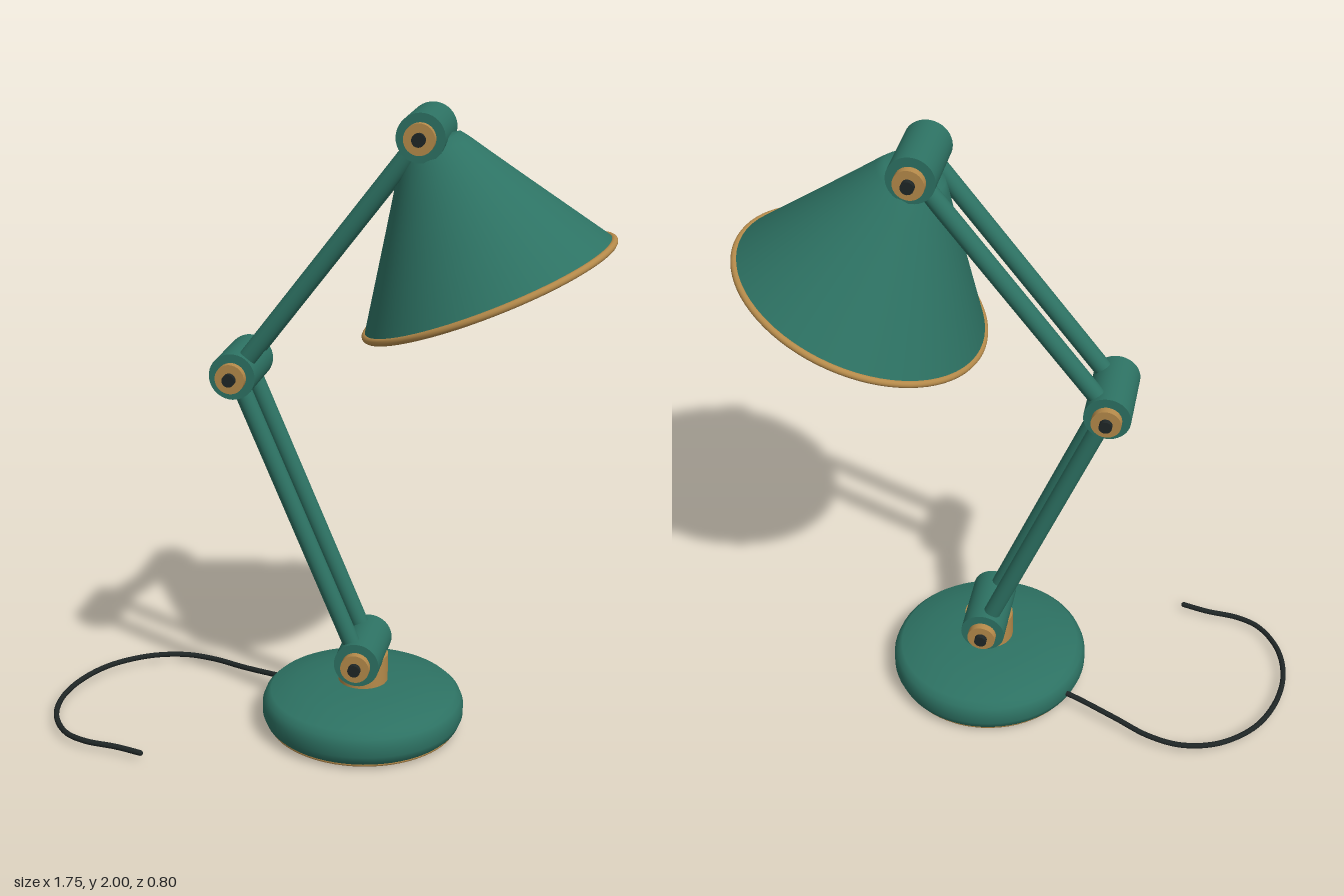
import * as THREE from 'three';

const mat = (name, color) => {
  const m = new THREE.MeshStandardMaterial({ color });
  m.name = name;
  return m;
};

export function createModel() {
  const green = mat('green enamel', 0x2d7263);
  const brass = mat('brass', 0xb58a4a);
  const dark = mat('dark rubber', 0x1f2626);
  const cream = mat('cream', 0xe6dcc4);

  const model = new THREE.Group();
  model.name = 'deskLamp';

  const add = (parent, name, geometry, material, x = 0, y = 0, z = 0) => {
    const mesh = new THREE.Mesh(geometry, material);
    mesh.name = name;
    mesh.position.set(x, y, z);
    parent.add(mesh);
    return mesh;
  };
  const lathe = (points) =>
    new THREE.LatheGeometry(points.map(([r, y]) => new THREE.Vector2(r, y)), 64);

  // Pivot centres in the x-y plane
  const foot = new THREE.Vector3(0.137, 0.26, 0);
  const elbow = new THREE.Vector3(-0.254, 1.187, 0);
  const head = new THREE.Vector3(0.312, 1.93, 0);

  // Base with rubber pad and brass trim
  const base = new THREE.Group();
  base.name = 'base';
  base.position.x = foot.x;
  model.add(base);
  add(base, 'baseBody', lathe([
    [0, 0.006], [0.295, 0.006], [0.315, 0.025], [0.325, 0.05], [0.325, 0.085],
    [0.316, 0.108], [0.298, 0.125], [0.22, 0.145], [0.13, 0.16], [0, 0.162],
  ]), green);
  add(base, 'basePad', new THREE.CylinderGeometry(0.285, 0.285, 0.01, 64), dark, 0, 0.005);
  add(base, 'baseTrim', new THREE.TorusGeometry(0.298, 0.008, 10, 64), brass, 0, 0.014)
    .rotation.x = Math.PI / 2;
  add(base, 'stem', new THREE.CylinderGeometry(0.08, 0.08, 0.11, 40), brass, 0, 0.196);

  // Pivot: barrel, bolt and a washer on each side
  const addJoint = (name, centre) => {
    const joint = new THREE.Group();
    joint.name = name;
    joint.position.copy(centre);
    joint.rotation.x = Math.PI / 2;
    model.add(joint);
    add(joint, 'barrel', new THREE.CylinderGeometry(0.072, 0.072, 0.232, 40), green);
    add(joint, 'bolt', new THREE.CylinderGeometry(0.02, 0.02, 0.32, 20), dark);
    for (const side of [-1, 1]) {
      add(joint, 'washer', new THREE.CylinderGeometry(0.046, 0.046, 0.024, 32), brass, 0, side * 0.132);
    }
  };
  addJoint('footJoint', foot);
  addJoint('elbowJoint', elbow);
  addJoint('headJoint', head);

  // Twin rods between pivots
  const addArm = (name, from, to) => {
    const arm = new THREE.Group();
    arm.name = name;
    arm.position.copy(from).lerp(to, 0.5);
    const dir = to.clone().sub(from);
    arm.quaternion.setFromUnitVectors(new THREE.Vector3(0, 1, 0), dir.clone().normalize());
    model.add(arm);
    for (const side of [-1, 1]) {
      add(arm, 'rod', new THREE.CylinderGeometry(0.028, 0.028, dir.length(), 24), green, 0, 0, side * 0.073);
    }
  };
  addArm('lowerArm', foot, elbow);
  addArm('upperArm', elbow, head);

  // Tilted shade hanging from the head pivot
  const shade = new THREE.Group();
  shade.name = 'shade';
  shade.position.copy(head);
  shade.rotation.z = 0.4;
  model.add(shade);
  add(shade, 'shadeOuter', lathe([
    [0.395, -0.49], [0.31, -0.362], [0.225, -0.234], [0.15, -0.12],
    [0.11, -0.058], [0.092, -0.034], [0.06, -0.026], [0, -0.024],
  ]), green);
  add(shade, 'shadeLining', lathe([
    [0, -0.05], [0.09, -0.055], [0.14, -0.126], [0.215, -0.24], [0.3, -0.368], [0.388, -0.49],
  ]), cream);
  add(shade, 'shadeRim', new THREE.TorusGeometry(0.391, 0.011, 12, 80), brass, 0, -0.49)
    .rotation.x = Math.PI / 2;
  add(shade, 'socket', new THREE.CylinderGeometry(0.05, 0.05, 0.2, 32), brass, 0, -0.15);
  add(shade, 'bulb', new THREE.SphereGeometry(0.093, 32, 24), cream, 0, -0.34).scale.y = 1.15;

  // Power cable lying on the table
  const path = new THREE.CatmullRomCurve3([
    [0, 0.06, -0.1], [-0.15, 0.058, -0.145], [-0.32, 0.044, -0.215], [-0.44, 0.036, -0.27],
    [-0.55, 0.032, -0.29], [-0.67, 0.029, -0.26], [-0.78, 0.027, -0.17], [-0.842, 0.026, -0.05],
    [-0.864, 0.025, 0.09], [-0.837, 0.025, 0.22], [-0.766, 0.025, 0.32], [-0.69, 0.025, 0.357],
    [-0.58, 0.025, 0.372], [-0.495, 0.025, 0.393],
  ].map((p) => new THREE.Vector3(...p)));
  add(model, 'cable', new THREE.TubeGeometry(path, 120, 0.009, 10), dark);
  const tip = path.getPoint(1);
  add(model, 'cableTip', new THREE.SphereGeometry(0.009, 10, 8), dark, tip.x, tip.y, tip.z);

  return model;
}
